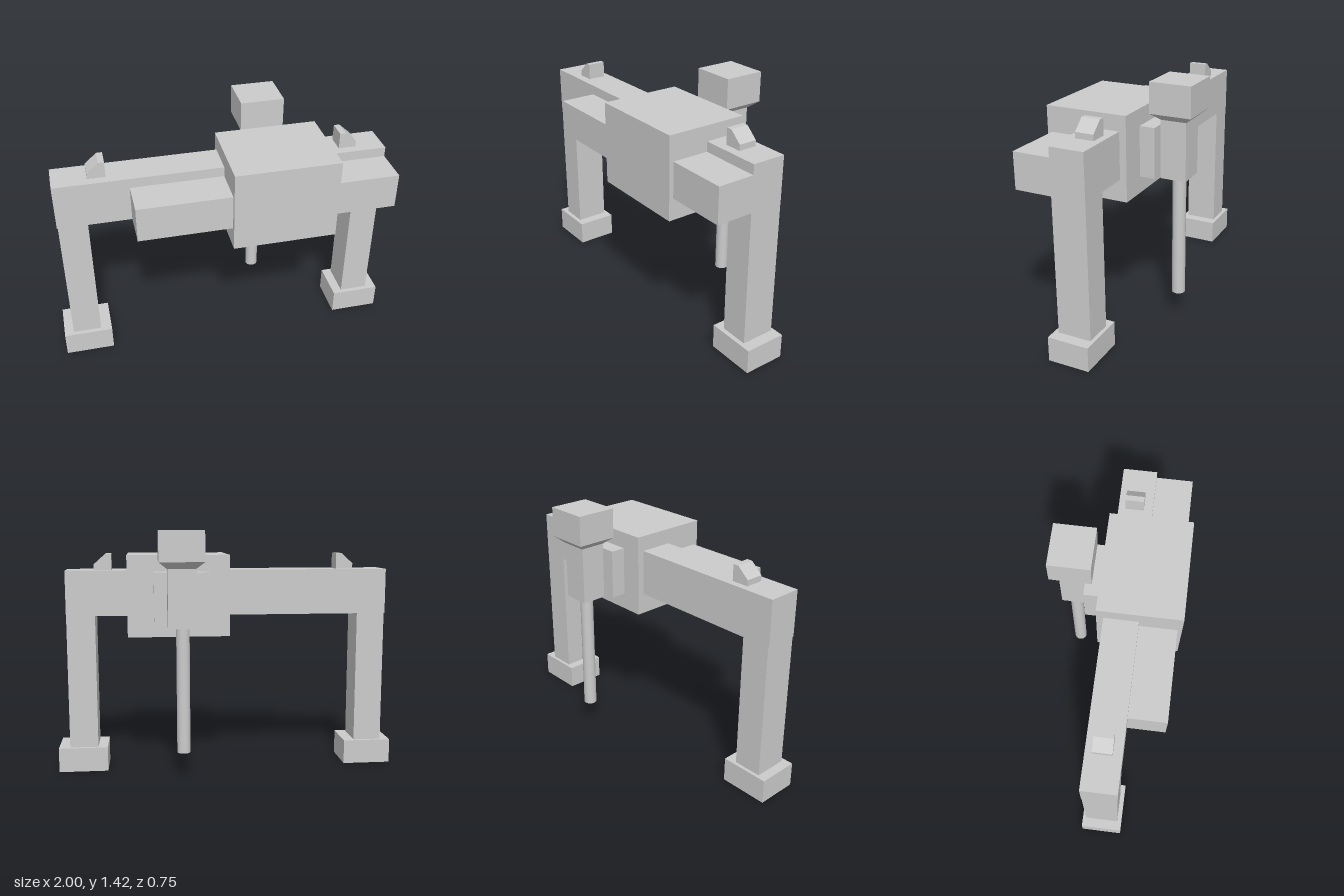
import * as THREE from 'three';

export function createModel() {
  const model = new THREE.Group();
  model.name = 'gantryMachine';
  const grey = new THREE.MeshStandardMaterial({ color: 0xcccccc, flatShading: true });
  const smooth = new THREE.MeshStandardMaterial({ color: 0xcccccc });

  function add(name, geometry, material = grey) {
    const mesh = new THREE.Mesh(geometry, material);
    mesh.name = name;
    model.add(mesh);
    return mesh;
  }

  // Box given by its extents on each axis
  function box(name, [x0, x1], [y0, y1], [z0, z1]) {
    const mesh = add(name, new THREE.BoxGeometry(x1 - x0, y1 - y0, z1 - z0));
    mesh.position.set((x0 + x1) / 2, (y0 + y1) / 2, (z0 + z1) / 2);
    return mesh;
  }

  // Portal frame: cross beam, legs and feet
  const frameZ = [-0.057, 0.139];
  box('crossBeam', [-0.95, 0.936], [0.923, 1.187], frameZ);
  box('rightLeg', [-0.945, -0.78], [0.145, 0.923], frameZ);
  box('leftLeg', [0.77, 0.935], [0.145, 0.923], frameZ);
  box('rightFoot', [-1, -0.716], [0, 0.143], [-0.077, 0.165]);
  box('leftFoot', [0.714, 1], [0, 0.143], [-0.077, 0.165]);
  // Bridge the hairline gap between legs and feet
  for (const mesh of model.children.filter((m) => m.name.endsWith('Leg'))) {
    mesh.scale.y = 1.005;
  }

  // Front rail and the carriage that rides on it
  box('frontRail', [-0.535, 0.936], [0.925, 1.13], [0.139, 0.352]);
  box('carriage', [-0.01, 0.583], [0.801, 1.275], [-0.096, 0.377]);

  // Bevelled end stops on top of the beam, mirrored
  for (const [name, side, inner] of [['leftStop', 1, 0.673], ['rightStop', -1, 0.655]]) {
    const points = [[0, 1.18], [0.1, 1.18], [0.1, 1.22], [0.033, 1.28], [0, 1.28]];
    const shape = new THREE.Shape(points.map(([x, y]) => new THREE.Vector2(side * (inner + x), y)));
    const stop = add(name, new THREE.ExtrudeGeometry(shape, { depth: 0.106, bevelEnabled: false }));
    stop.position.z = -0.018;
  }

  // Tool unit behind the carriage
  const toolX = 0.277;
  box('toolBracket', [0.115, 0.43], [0.896, 1.18], [-0.184, -0.096]);
  box('spindleHousing', [toolX - 0.079, toolX + 0.079], [0.875, 1.206], [-0.331, -0.184]);
  box('motorHead', [0.153, 0.405], [1.245, 1.417], [-0.377, -0.14]);

  // Tapered collar: the lower vertices of a box are drawn in to the housing
  const collar = box('motorCollar', [0.153, 0.405], [1.206, 1.245], [-0.377, -0.14]);
  const p = collar.geometry.attributes.position;
  for (let i = 0; i < p.count; i++) {
    if (p.getY(i) < 0) {
      p.setX(i, p.getX(i) * 0.627);
      p.setZ(i, p.getZ(i) * 0.62);
    }
  }
  collar.geometry.computeVertexNormals();

  // Long tool shaft
  const shaft = add('toolShaft', new THREE.CylinderGeometry(0.038, 0.038, 0.719, 32), smooth);
  shaft.position.set(0.272, 0.5165, -0.259);

  return model;
}
